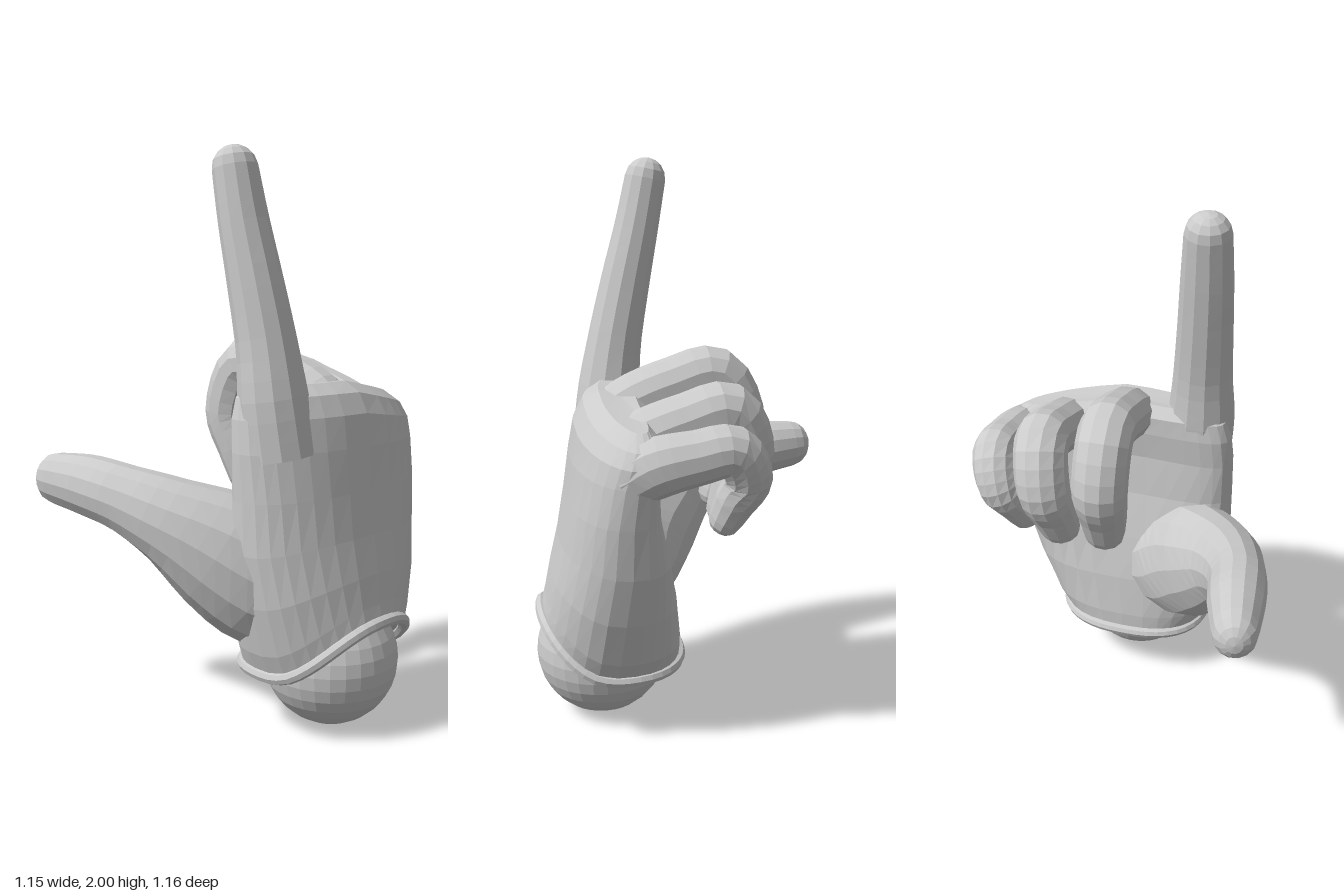
import * as THREE from 'three';

const skin = new THREE.MeshStandardMaterial({ color: 0xcccccc, flatShading: true, side: THREE.DoubleSide });
const V = (x, y, z) => new THREE.Vector3(x, y, z);

// Skin a list of closed rings, closing each end with a fan to a centre point
function loft(rings, startCentre, endCentre) {
  const n = rings[0].length, pos = [], idx = [];
  rings.forEach(r => r.forEach(p => pos.push(p.x, p.y, p.z)));
  for (let r = 0; r < rings.length - 1; r++) {
    for (let i = 0; i < n; i++) {
      const a = r * n + i, b = r * n + (i + 1) % n;
      idx.push(a, a + n, b, b, a + n, b + n);
    }
  }
  const s = rings.length * n, last = s - n;
  pos.push(...startCentre.toArray(), ...endCentre.toArray());
  for (let i = 0; i < n; i++) {
    const j = (i + 1) % n;
    idx.push(s, i, j, s + 1, last + j, last + i);
  }
  const g = new THREE.BufferGeometry();
  g.setAttribute('position', new THREE.Float32BufferAttribute(pos, 3));
  g.setIndex(idx);
  g.computeVertexNormals();
  return g;
}

// Tapered digit with a rounded tip. Each point: [x, y, z, radius along ref, radius across]
function digit(points, ref, steps = 14, sides = 12) {
  const path = new THREE.CatmullRomCurve3(points.map(p => V(p[0], p[1], p[2])));
  const radii = new THREE.CatmullRomCurve3(points.map(p => V(p[3], p[4], 0)));
  const rings = [];
  const ring = (c, T, ra, rb) => {
    const N = ref.clone().addScaledVector(T, -ref.dot(T)).normalize();
    const B = N.clone().cross(T);
    rings.push(Array.from({ length: sides }, (_, i) => {
      const a = (i + 0.5) / sides * Math.PI * 2;
      return c.clone().addScaledVector(N, ra * Math.cos(a)).addScaledVector(B, rb * Math.sin(a));
    }));
  };
  for (let k = 0; k <= steps; k++) {
    const r = radii.getPoint(k / steps);
    ring(path.getPoint(k / steps), path.getTangent(k / steps), r.x, r.y);
  }
  const T = path.getTangent(1), end = path.getPoint(1), r = radii.getPoint(1);
  const reach = Math.min(r.x, r.y);
  for (const a of [0.45, 0.85, 1.2]) {
    ring(end.clone().addScaledVector(T, reach * Math.sin(a)), T, r.x * Math.cos(a), r.y * Math.cos(a));
  }
  return loft(rings, path.getPoint(0), end.clone().addScaledVector(T, reach));
}

// Palm cross-sections: [y, centre x, half width, front z, back z, front lift, bow, palm hollow, slope]
const PALM = [
  [0.23, 0.035, 0.29, 0.56, 0.06, 0.18, 0, 0, 0],
  [0.31, 0.045, 0.33, 0.545, 0.06, 0.16, 0, 0, 0],
  [0.48, 0.06, 0.38, 0.525, 0.07, 0.09, 0.01, 0.01, 0],
  [0.66, 0.075, 0.415, 0.495, 0.08, 0.04, 0.02, 0.04, 0],
  [0.84, 0.09, 0.43, 0.47, 0.12, 0.01, 0.03, 0.05, 0],
  [1.0, 0.1, 0.44, 0.45, 0.15, 0, 0.05, 0.04, 0.05],
  [1.11, 0.11, 0.44, 0.43, 0.16, 0, 0.06, 0.02, 0.15],
  [1.18, 0.11, 0.42, 0.395, 0.18, 0, 0.06, 0, 0.2],
  [1.215, 0.1, 0.36, 0.34, 0.22, 0, 0.05, 0, 0.2],
];

function palmRings(sides = 32) {
  const soft = v => Math.sign(v) * Math.abs(v) ** 0.8;
  return PALM.map(([y, xc, hw, zf, zb, lift, bow, hollow, slope]) =>
    Array.from({ length: sides }, (_, i) => {
      const a = i / sides * Math.PI * 2, c = soft(Math.cos(a)), s = soft(Math.sin(a));
      const x = xc + hw * c;
      const z = (zf + zb) / 2 + (zf - zb) / 2 * s - bow * c * c + (s < 0 ? hollow * (1 - c * c) : 0);
      return V(x, y + lift * Math.max(0, s) ** 2 - slope * Math.max(0, x - 0.1), z);
    }));
}

export function createModel() {
  const hand = new THREE.Group();
  hand.name = 'pointingHand';
  const add = (name, geometry) => {
    const m = new THREE.Mesh(geometry, skin);
    m.name = name;
    hand.add(m);
    return m;
  };

  // Wrist ball
  add('wristBall', new THREE.SphereGeometry(0.24, 28, 16)).position.set(0.035, 0.24, 0.34);

  // Palm and the rolled edge of its cuff
  const rings = palmRings();
  add('palm', loft(rings, V(0.035, 0.34, 0.32), V(0.1, 1.21, 0.27)));
  add('cuffRim', new THREE.TubeGeometry(new THREE.CatmullRomCurve3(rings[0], true), 48, 0.022, 8, true));

  // Extended index finger
  const X = V(1, 0, 0), Y = V(0, 1, 0);
  add('indexFinger', digit([
    [-0.19, 0.98, 0.3, 0.13, 0.12],
    [-0.205, 1.16, 0.28, 0.125, 0.115],
    [-0.21, 1.34, 0.255, 0.108, 0.1],
    [-0.22, 1.56, 0.21, 0.098, 0.09],
    [-0.228, 1.76, 0.165, 0.09, 0.08],
    [-0.232, 1.925, 0.132, 0.08, 0.074],
  ], X));

  // Three curled fingers
  add('middleFinger', digit([
    [0.07, 1.06, 0.34, 0.1, 0.08],
    [0.065, 1.15, 0.24, 0.105, 0.1],
    [0.06, 1.22, 0.07, 0.102, 0.1],
    [0.055, 1.25, -0.08, 0.1, 0.1],
    [0.055, 1.07, -0.165, 0.1, 0.095],
    [0.06, 0.93, -0.12, 0.09, 0.08],
    [0.065, 0.83, -0.085, 0.078, 0.068],
  ], X, 24));
  add('ringFinger', digit([
    [0.3, 1.02, 0.32, 0.1, 0.08],
    [0.3, 1.08, 0.22, 0.105, 0.1],
    [0.3, 1.14, 0.06, 0.1, 0.098],
    [0.295, 1.17, -0.08, 0.098, 0.098],
    [0.27, 1.02, -0.15, 0.098, 0.092],
    [0.25, 0.9, -0.11, 0.088, 0.078],
    [0.24, 0.815, -0.08, 0.078, 0.066],
  ], X, 24));
  add('littleFinger', digit([
    [0.45, 0.98, 0.28, 0.08, 0.09],
    [0.475, 1.03, 0.2, 0.09, 0.1],
    [0.49, 1.065, 0.06, 0.083, 0.09],
    [0.485, 1.08, -0.06, 0.083, 0.085],
    [0.45, 0.98, -0.115, 0.083, 0.08],
    [0.41, 0.89, -0.08, 0.075, 0.07],
    [0.39, 0.83, -0.055, 0.066, 0.06],
  ], X, 24));

  // Thumb with its broad fleshy root
  add('thumb', digit([
    [-0.04, 0.48, 0.27, 0.2, 0.18],
    [-0.16, 0.54, 0.2, 0.24, 0.19],
    [-0.27, 0.64, 0.1, 0.22, 0.175],
    [-0.385, 0.745, -0.04, 0.155, 0.135],
    [-0.455, 0.81, -0.2, 0.12, 0.105],
    [-0.48, 0.835, -0.35, 0.112, 0.1],
    [-0.505, 0.845, -0.5, 0.095, 0.08],
  ], Y, 20, 14));

  return hand;
}
